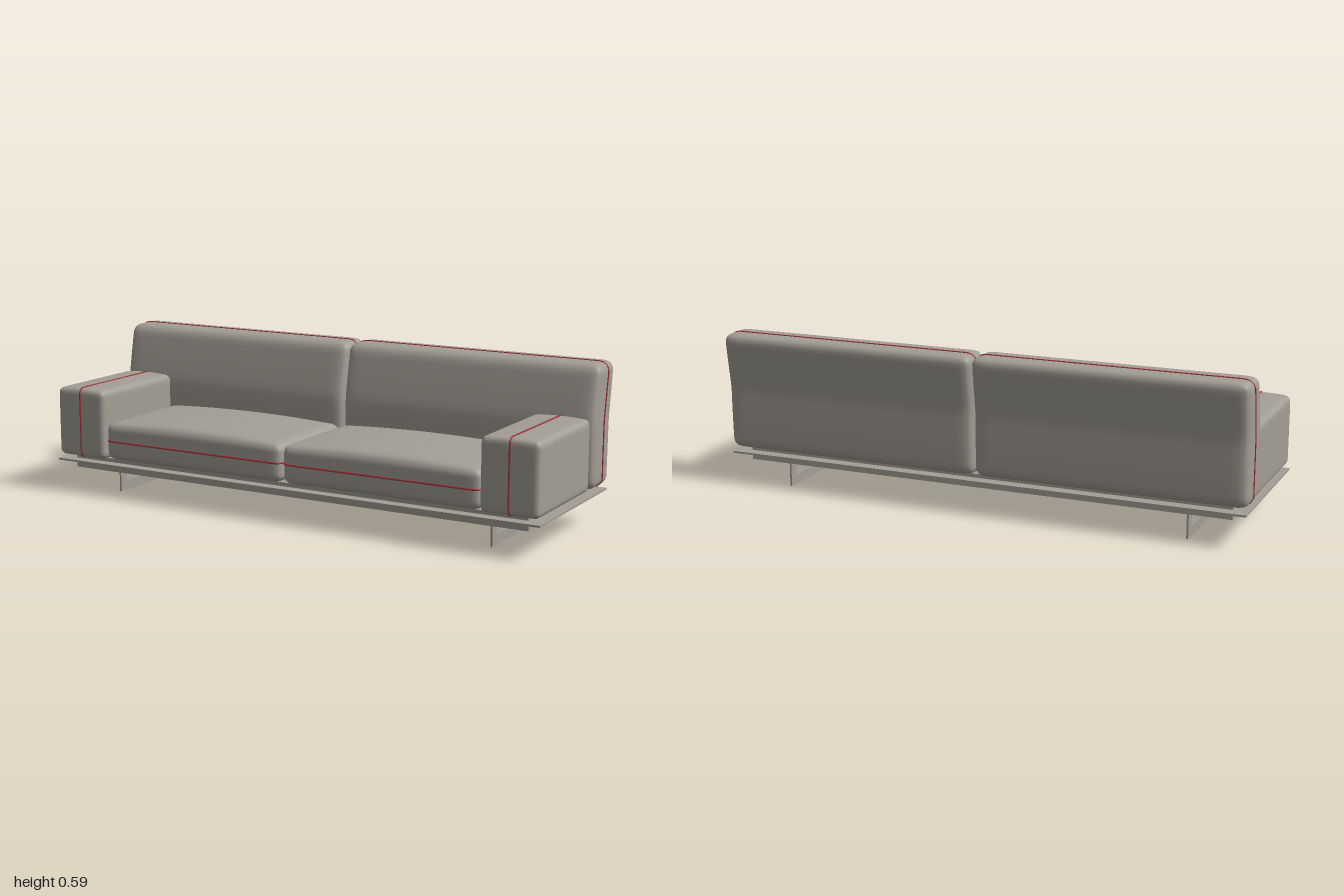
import * as THREE from 'three';
import { mergeVertices } from 'three/addons/utils/BufferGeometryUtils.js';

const fabric = new THREE.MeshStandardMaterial({ name: 'grey fabric', color: 0xa39e95 });
const metal = new THREE.MeshStandardMaterial({ name: 'grey metal', color: 0xa39f96 });
const red = new THREE.MeshStandardMaterial({ name: 'red piping', color: 0x9e2a32 });

const SEG = 24;
const clamp = THREE.MathUtils.clamp;
// Spacing that crowds points towards the rounded edges
const crowd = (t) => Math.sin((t * Math.PI) / 2);

function addMesh(parent, name, geometry, material) {
  const mesh = new THREE.Mesh(geometry, material);
  mesh.name = name;
  parent.add(mesh);
  return mesh;
}

// Soft box with rounded edges, bent by warp(point, half), with a piping loop
// around it in the plane across the axis `pipeAxis` at `pipeOffset`
function cushion(name, half, center, radius, warp, pipeAxis, pipeOffset) {
  const group = new THREE.Group();
  group.name = name;
  group.position.set(...center);
  const h = new THREE.Vector3(...half);

  const form = (p) => {
    const q = new THREE.Vector3();
    for (const a of ['x', 'y', 'z']) q[a] = clamp(p[a], radius - h[a], h[a] - radius);
    const d = p.clone().sub(q);
    if (d.lengthSq() > 1e-12) d.setLength(radius);
    q.add(d);
    warp(q, h);
    return q;
  };

  // Body
  let body = new THREE.BoxGeometry(2, 2, 2, SEG, SEG, SEG);
  body.deleteAttribute('uv');
  body.deleteAttribute('normal');
  const pos = body.attributes.position;
  const p = new THREE.Vector3();
  for (let i = 0; i < pos.count; i++) {
    p.fromBufferAttribute(pos, i);
    const q = form(p.set(crowd(p.x) * h.x, crowd(p.y) * h.y, crowd(p.z) * h.z));
    pos.setXYZ(i, q.x, q.y, q.z);
  }
  body = mergeVertices(body, 1e-5);
  body.computeVertexNormals();
  addMesh(group, name + 'Body', body, fabric);

  // Piping: four sides of the section, run through the same form
  const [a, b] = ['x', 'y', 'z'].filter((k) => k !== pipeAxis);
  const points = [];
  for (const [ca, cb, da, db] of [[-1, -1, 1, 0], [1, -1, 0, 1], [1, 1, -1, 0], [-1, 1, 0, -1]]) {
    for (let i = 0; i < SEG; i++) {
      const t = crowd((2 * i) / SEG - 1);
      const v = new THREE.Vector3();
      v[pipeAxis] = pipeOffset;
      v[a] = (da ? da * t : ca) * h[a];
      v[b] = (db ? db * t : cb) * h[b];
      points.push(form(v));
    }
  }
  const loop = new THREE.CatmullRomCurve3(points, true);
  addMesh(group, name + 'Piping', new THREE.TubeGeometry(loop, 200, 0.0032, 6, true), red);
  return group;
}

// Seat domes upwards
function seatWarp(p, h) {
  const u = p.x / h.x, w = p.z / h.z;
  if (p.y > 0) p.y *= 1 + 0.28 * (1 - u * u) * (1 - 0.6 * w ** 4);
}

// Arm swells a little at the top
function armWarp(p, h) {
  const u = p.x / h.x;
  if (p.y > 0) p.y *= 1 + 0.04 * (1 - u * u);
}

// Backrest swells at mid height and leans back above it
function backWarp(p, h) {
  const v = p.y / h.y;
  p.z *= 1 + 0.08 * (1 - v * v);
  p.z -= Math.max(0, p.y - 0.015) * 0.17;
}

export function createModel() {
  const sofa = new THREE.Group();
  sofa.name = 'sofa';

  // Upholstery, mirrored left and right
  for (const [side, s] of [['left', 1], ['right', -1]]) {
    sofa.add(
      cushion(side + 'Seat', [0.384, 0.07, 0.22], [s * 0.387, 0.213, 0.088], 0.03, seatWarp, 'y', 0.002),
      cushion(side + 'Arm', [0.108, 0.129, 0.222], [s * 0.8785, 0.272, 0.094], 0.022, armWarp, 'x', 0),
      cushion(side + 'Back', [0.4975, 0.22, 0.076], [s * 0.4985, 0.363, -0.212], 0.034, backWarp, 'z', -0.006)
    );
  }

  // Thin platform and the frame through it
  addMesh(sofa, 'platform', new THREE.BoxGeometry(1.98, 0.007, 0.598), metal).position.set(0, 0.1235, 0.016);
  addMesh(sofa, 'baseFrame', new THREE.BoxGeometry(1.866, 0.05, 0.514), metal).position.set(0, 0.116, 0.017);

  // Flat U-shaped sled legs; shape x runs along -z
  const profile = [
    [-0.215, 0], [0.232, 0], [0.232, 0.092], [0.196, 0.092],
    [0.196, 0.037], [-0.178, 0.037], [-0.178, 0.092], [-0.215, 0.092],
  ];
  const legShape = new THREE.Shape(profile.map(([x, y]) => new THREE.Vector2(x, y)));
  const legGeometry = new THREE.ExtrudeGeometry(legShape, { depth: 0.007, bevelEnabled: false });
  legGeometry.translate(0, 0, -0.0035).rotateY(Math.PI / 2);
  for (const [side, s] of [['left', 1], ['right', -1]]) {
    addMesh(sofa, side + 'Leg', legGeometry, metal).position.x = s * 0.775;
  }
  return sofa;
}
